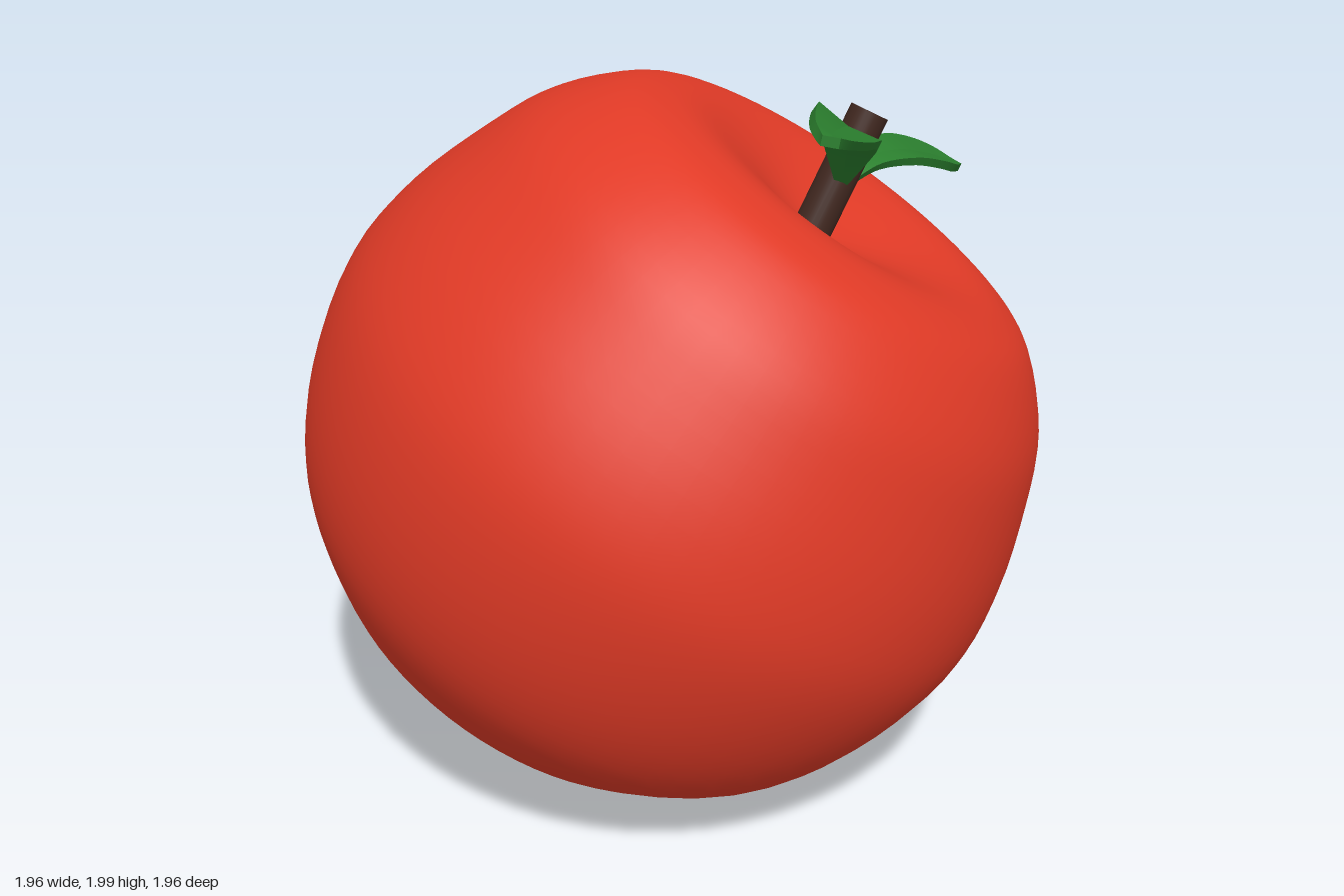
import * as THREE from 'three';

const mat = (name, color) => {
  const m = new THREE.MeshStandardMaterial({ color });
  m.name = name;
  return m;
};
const V = (p) => new THREE.Vector3(...p);

// Leaf blade with thickness, lofted between its two edge curves
function leafGeometry(edgeA, edgeB, thickness = 0.024, steps = 24) {
  const a = new THREE.CatmullRomCurve3(edgeA.map(V));
  const b = new THREE.CatmullRomCurve3(edgeB.map(V));
  const rings = [];
  for (let i = 0; i <= steps; i++) {
    const t = i / steps;
    const pa = a.getPoint(t), pb = b.getPoint(t);
    const forward = a.getTangent(t).add(b.getTangent(t)).normalize();
    const normal = forward.cross(pb.clone().sub(pa)).normalize();
    // the midrib sinks slightly below the edges
    const mid = pa.clone().lerp(pb, 0.5).addScaledVector(normal, -0.012 * Math.sin(Math.PI * t));
    const top = [pa, mid, pb];
    const low = top.map((p) => p.clone().addScaledVector(normal, -thickness));
    rings.push([...top, ...low.reverse()]);
  }
  const pos = [], index = [];
  // each side of the section has its own vertices, so its edges stay sharp
  for (let k = 0; k < 6; k++) {
    const start = pos.length / 3;
    rings.forEach((r) => pos.push(...r[k].toArray(), ...r[(k + 1) % 6].toArray()));
    for (let i = 0; i < steps; i++) {
      const q = start + i * 2;
      index.push(q, q + 2, q + 1, q + 1, q + 2, q + 3);
    }
  }
  // end caps
  [0, steps].forEach((i) => {
    const s = pos.length / 3;
    rings[i].forEach((p) => pos.push(...p.toArray()));
    for (let k = 1; k < 5; k++) index.push(...(i ? [s, s + k + 1, s + k] : [s, s + k, s + k + 1]));
  });
  const g = new THREE.BufferGeometry();
  g.setAttribute('position', new THREE.Float32BufferAttribute(pos, 3));
  g.setIndex(index);
  g.computeVertexNormals();
  return g;
}

export function createModel() {
  const group = new THREE.Group();
  group.name = 'apple';
  const red = mat('red skin', 0xe03a26);
  const brown = mat('brown stem', 0x40271f);
  const green = mat('green leaf', 0x2b7f2e);
  const add = (name, geometry, material) => {
    const mesh = new THREE.Mesh(geometry, material);
    mesh.name = name;
    group.add(mesh);
    return mesh;
  };

  // Fruit: turned profile from the bottom dimple to the top dimple, leaning to one side
  const profile = new THREE.SplineCurve([
    [0, -0.74], [0.12, -0.765], [0.27, -0.82], [0.41, -0.841], [0.53, -0.805], [0.64, -0.735],
    [0.82, -0.545], [0.93, -0.31], [0.982, -0.03], [0.95, 0.2], [0.86, 0.44], [0.775, 0.6],
    [0.64, 0.738], [0.53, 0.787], [0.42, 0.797], [0.28, 0.765], [0.13, 0.715], [0, 0.68],
  ].map((p) => new THREE.Vector2(...p)));
  const points = profile.getPoints(68).map((p) => p.setX(Math.max(0, p.x)));
  const body = add('fruit', new THREE.LatheGeometry(points, 72), red);
  body.position.y = 0.97;
  body.rotation.z = -THREE.MathUtils.degToRad(33);

  // Stem
  const foot = V([0.35, 1.53, 0]), tip = V([0.5, 1.85, -0.07]);
  const axis = tip.clone().sub(foot);
  const stem = add('stem', new THREE.CylinderGeometry(0.052, 0.052, axis.length(), 24), brown);
  stem.position.copy(foot).lerp(tip, 0.5);
  stem.quaternion.setFromUnitVectors(V([0, 1, 0]), axis.normalize());

  // Large leaf reaching forward
  add('frontLeaf', leafGeometry(
    [[0.42, 1.7, -0.01], [0.385, 1.835, 0.13], [0.365, 1.955, 0.3], [0.352, 1.992, 0.45], [0.346, 1.988, 0.58], [0.36, 1.972, 0.645]],
    [[0.45, 1.69, -0.01], [0.5, 1.8, 0.13], [0.512, 1.865, 0.28], [0.48, 1.9, 0.43], [0.43, 1.94, 0.57], [0.4, 1.965, 0.645]],
  ), green);

  // Small leaf reaching backward
  add('backLeaf', leafGeometry(
    [[0.46, 1.67, -0.05], [0.54, 1.7, -0.12], [0.64, 1.695, -0.2], [0.72, 1.66, -0.3], [0.765, 1.627, -0.385], [0.784, 1.612, -0.45]],
    [[0.43, 1.68, -0.05], [0.475, 1.735, -0.15], [0.54, 1.745, -0.25], [0.62, 1.712, -0.36], [0.7, 1.663, -0.44], [0.765, 1.618, -0.465]],
  ), green);

  return group;
}
